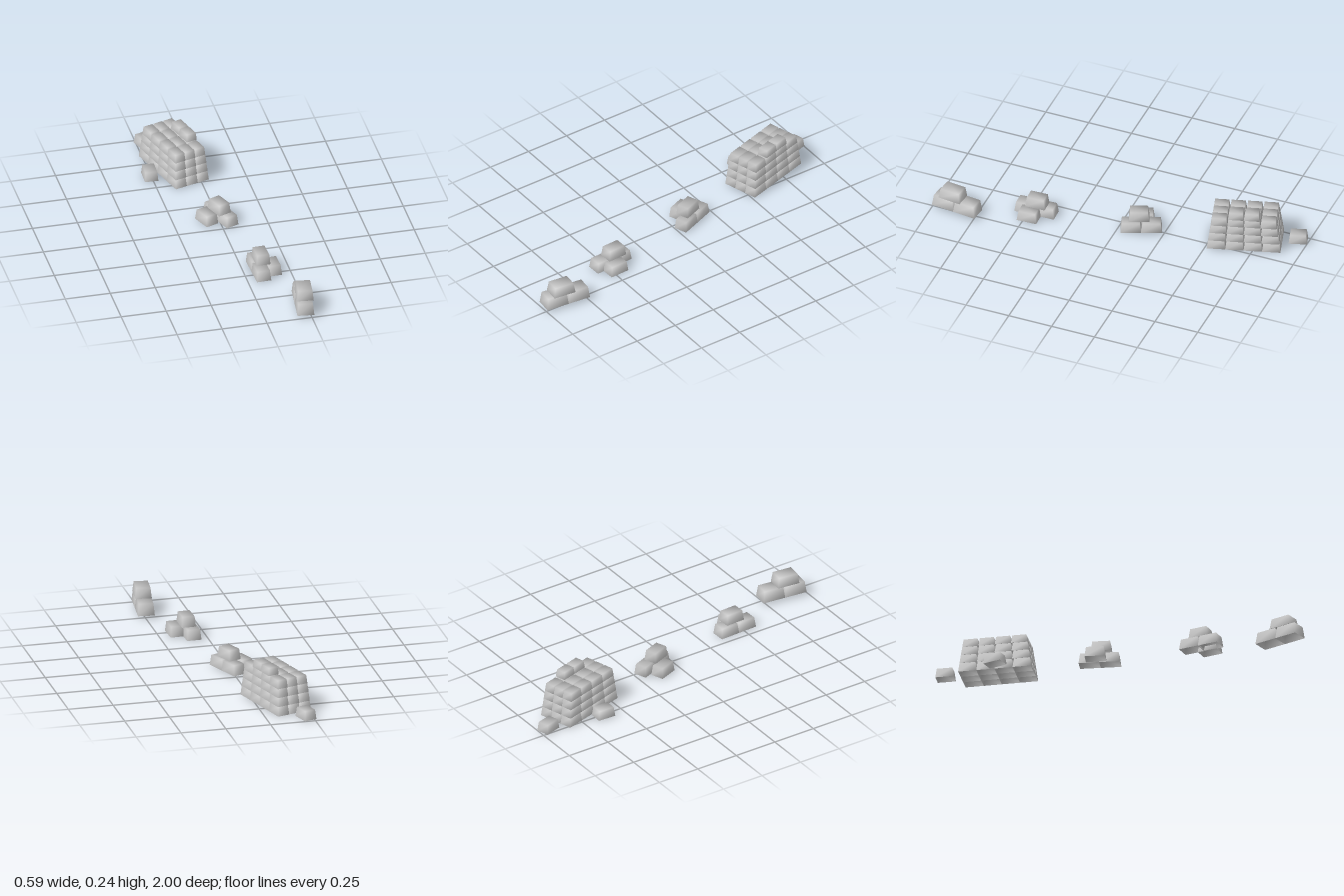
import * as THREE from 'three';
import { mergeVertices } from 'three/addons/utils/BufferGeometryUtils.js';

const TAPER = 0.86;

// Unit block: base on y = 0, narrower top, open underneath, soft shared normals
function blockGeometry() {
  const box = new THREE.BoxGeometry(1, 1, 1).translate(0, 0.5, 0);
  box.deleteAttribute('normal');
  box.deleteAttribute('uv');
  const index = Array.from(box.index.array);
  index.splice(18, 6);
  box.setIndex(index);
  box.clearGroups();
  const p = box.attributes.position;
  for (let i = 0; i < p.count; i++) {
    if (p.getY(i) > 0.5) p.setXYZ(i, p.getX(i) * TAPER, 1, p.getZ(i) * TAPER);
  }
  const geo = mergeVertices(box);
  geo.computeVertexNormals();
  return geo;
}

export function createModel() {
  const model = new THREE.Group();
  const stone = new THREE.MeshStandardMaterial({ color: 0xc0c0c0, side: THREE.DoubleSide });
  stone.name = 'grey stone';
  const geo = blockGeometry();

  function pile(name, x, z, turn) {
    const g = new THREE.Group();
    g.name = name;
    g.position.set(x, 0, z);
    g.rotation.y = turn;
    model.add(g);
    return g;
  }
  // Block centred at local x, z with its base at y
  function block(parent, name, x, y, z, w, h, d) {
    const m = new THREE.Mesh(geo, stone);
    m.name = name;
    m.position.set(x, y, z);
    m.scale.set(w, h, d);
    parent.add(m);
  }

  // Front pile: two blocks with one on top
  const front = pile('frontPile', 0.232, 0.866, -0.116);
  for (const s of [-1, 1]) block(front, 'baseBlock', 0, 0.018, s * 0.065, 0.092, 0.066, 0.13);
  block(front, 'topBlock', 0.003, 0.084, 0.024, 0.09, 0.058, 0.128);

  // Second pile: three base blocks and one on top
  const second = pile('secondPile', 0.083, 0.463, 0.035);
  for (const s of [-1, 1]) block(second, 'baseBlock', 0, 0.003, s * 0.056, 0.08, 0.058, 0.115);
  block(second, 'sideBlock', 0.073, 0.003, 0.018, 0.076, 0.058, 0.112);
  block(second, 'topBlock', 0.016, 0.063, -0.01, 0.077, 0.058, 0.112);

  // Third pile: the same arrangement, side block on the other side
  const third = pile('thirdPile', 0.015, -0.12, 0.374);
  for (const s of [-1, 1]) block(third, 'baseBlock', 0, 0.003, s * 0.056, 0.075, 0.058, 0.113);
  block(third, 'sideBlock', -0.083, 0.003, -0.015, 0.075, 0.058, 0.112);
  block(third, 'topBlock', -0.019, 0.063, 0.012, 0.075, 0.058, 0.112);

  // Large stack: four shrinking layers of three by four blocks
  const stack = pile('largeStack', -0.111, -0.676, 0.288);
  const levels = [0.005, 0.057, 0.106, 0.154, 0.2];
  for (let layer = 0; layer < 4; layer++) {
    const w = 0.0685 - layer * 0.0022;
    const d = 0.1 - layer * 0.0035;
    const h = levels[layer + 1] - levels[layer];
    for (let col = -1; col <= 1; col++) {
      for (let row = -1.5; row <= 1.5; row++) {
        block(stack, 'stackBlock', col * w, levels[layer], row * d, w, h, d);
      }
    }
  }
  for (const s of [-1, 1]) block(stack, 'topBlock', 0.063, 0.2, s * 0.043, 0.062, 0.042, 0.086);

  // Loose blocks beside the large stack
  block(pile('rearLooseBlock', -0.211, -0.944, 0.3), 'looseBlock', 0, 0.005, 0, 0.072, 0.053, 0.1);
  block(pile('sideLooseBlock', -0.259, -0.617, -0.03), 'looseBlock', 0, 0.005, 0, 0.074, 0.053, 0.104);

  return model;
}
